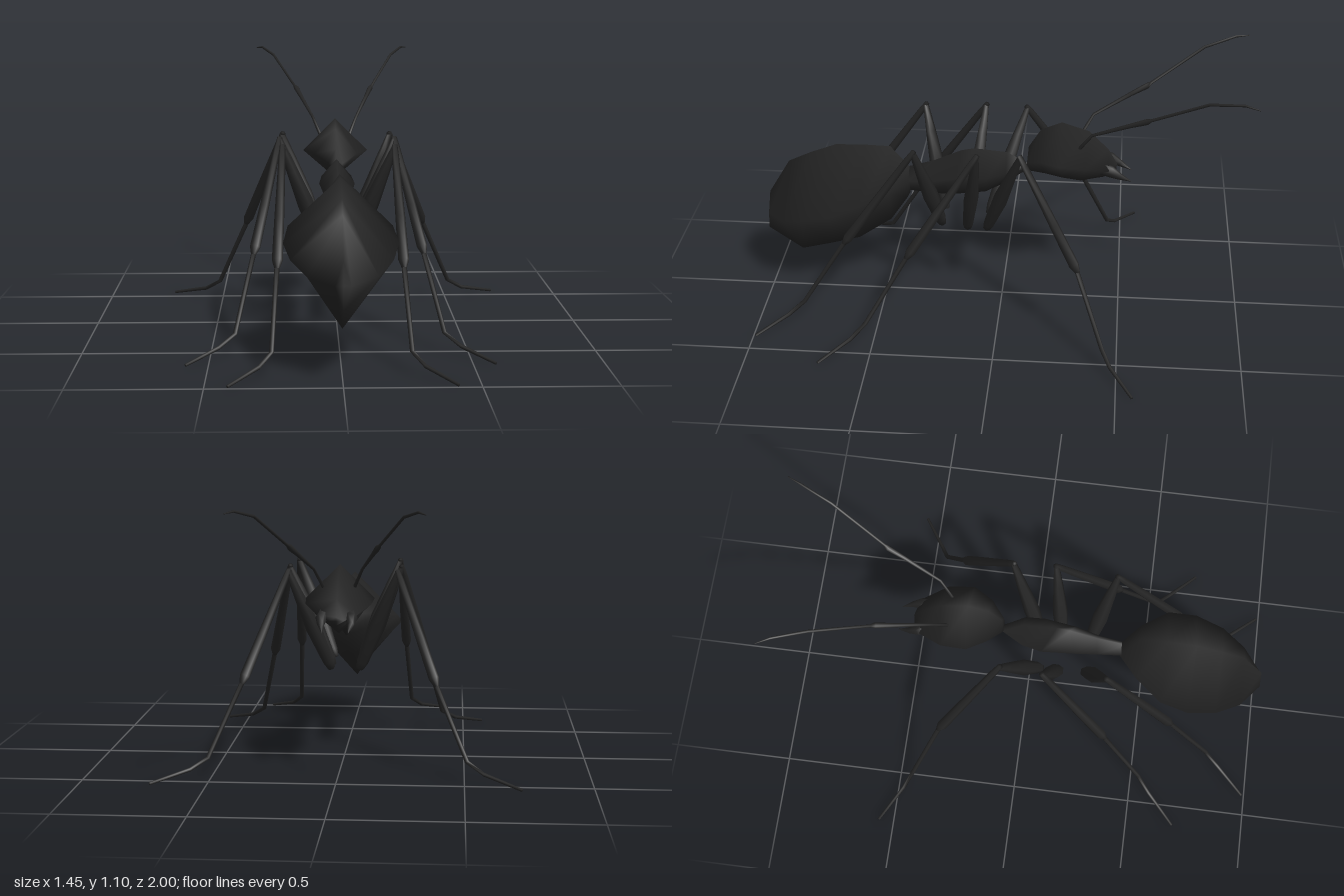
import * as THREE from 'three';

const V = (x, y, z) => new THREE.Vector3(x, y, z);

// Skin a list of equal-sized rings (counter-clockwise about the travel direction) and close both ends
function loft(rings) {
  const n = rings[0].length, pos = [], idx = [];
  rings.forEach(r => r.forEach(p => pos.push(p.x, p.y, p.z)));
  for (let i = 0; i < rings.length - 1; i++) {
    for (let j = 0; j < n; j++) {
      const a = i * n + j, b = i * n + (j + 1) % n;
      idx.push(a, b, a + n, b, b + n, a + n);
    }
  }
  [0, rings.length - 1].forEach((ri, end) => {
    const c = rings[ri].reduce((s, p) => s.add(p), V(0, 0, 0)).divideScalar(n);
    const ci = pos.length / 3;
    pos.push(c.x, c.y, c.z);
    for (let j = 0; j < n; j++) {
      const a = ri * n + j, b = ri * n + (j + 1) % n;
      if (end) idx.push(ci, a, b); else idx.push(ci, b, a);
    }
  });
  const g = new THREE.BufferGeometry();
  g.setAttribute('position', new THREE.Float32BufferAttribute(pos, 3));
  g.setIndex(idx);
  g.computeVertexNormals();
  return g;
}

// Diamond-section body: each row is [topZ, topY, bottomZ, bottomY, halfWidth, sideZ, sideY]
const diamondBody = rows => loft(rows.map(([tz, ty, bz, by, w, sz, sy]) =>
  [V(0, ty, tz), V(-w, sy, sz), V(0, by, bz), V(w, sy, sz)]));

// Tapered limb: each row is [x, y, z, radius]
function limb(rows, side, sides = 6) {
  const pts = rows.map(r => V(r[0] * side, r[1], r[2]));
  return loft(pts.map((p, i) => {
    const t = pts[Math.min(i + 1, pts.length - 1)].clone().sub(pts[Math.max(i - 1, 0)]).normalize();
    const u = V(1, 0, 0).addScaledVector(t, -t.x).normalize();
    const v = t.clone().cross(u);
    return Array.from({ length: sides }, (_, j) => {
      const a = j / sides * Math.PI * 2, r = rows[i][3];
      return p.clone().addScaledVector(u, r * Math.cos(a)).addScaledVector(v, r * Math.sin(a));
    });
  }));
}

const mix = (a, b, t, r) => [0, 1, 2].map(k => a[k] + (b[k] - a[k]) * t).concat(r);

export function createModel() {
  const model = new THREE.Group();
  model.name = 'ant';
  const shell = new THREE.MeshStandardMaterial({ color: 0x242424 });
  shell.name = 'dark shell';
  const add = (name, geometry, parent = model) => {
    const m = new THREE.Mesh(geometry, shell);
    m.name = name;
    parent.add(m);
  };

  // Body sections, head at -z
  add('head', diamondBody([
    [-0.474, 0.655, -0.455, 0.62, 0.03, -0.47, 0.64],
    [-0.437, 0.72, -0.42, 0.592, 0.08, -0.44, 0.66],
    [-0.357, 0.80, -0.325, 0.57, 0.13, -0.345, 0.69],
    [-0.244, 0.836, -0.25, 0.58, 0.137, -0.24, 0.70],
    [-0.16, 0.80, -0.18, 0.597, 0.09, -0.16, 0.695],
    [-0.11, 0.72, -0.10, 0.61, 0.03, -0.105, 0.66],
  ]));
  add('thorax', diamondBody([
    [-0.11, 0.64, -0.10, 0.61, 0.012, -0.11, 0.625],
    [-0.02, 0.69, -0.02, 0.55, 0.062, -0.02, 0.62],
    [0.115, 0.702, 0.07, 0.50, 0.073, 0.06, 0.60],
    [0.17, 0.69, 0.22, 0.48, 0.06, 0.19, 0.585],
    [0.28, 0.64, 0.30, 0.485, 0.042, 0.29, 0.56],
    [0.41, 0.60, 0.41, 0.495, 0.03, 0.40, 0.55],
  ]));
  add('abdomen', diamondBody([
    [0.385, 0.605, 0.385, 0.485, 0.03, 0.385, 0.545],
    [0.464, 0.697, 0.40, 0.455, 0.116, 0.46, 0.54],
    [0.57, 0.70, 0.47, 0.35, 0.20, 0.57, 0.515],
    [0.69, 0.697, 0.61, 0.252, 0.217, 0.69, 0.47],
    [0.80, 0.655, 0.73, 0.218, 0.19, 0.81, 0.43],
    [0.893, 0.611, 0.86, 0.185, 0.13, 0.91, 0.39],
    [0.984, 0.461, 1.0, 0.284, 0.03, 0.99, 0.37],
  ]));

  // Leg joints: hip, knee, shin, ankle, foot, toe
  const legs = {
    frontLeg: [[0.06, 0.36, 0.06], [0.225, 0.785, -0.09], [0.385, 0.37, -0.33],
      [0.51, 0.085, -0.44], [0.575, 0.045, -0.475], [0.72, 0.008, -0.565]],
    middleLeg: [[0.06, 0.36, 0.14], [0.235, 0.785, 0.085], [0.335, 0.37, 0.36],
      [0.405, 0.085, 0.53], [0.465, 0.045, 0.585], [0.585, 0.008, 0.70]],
    backLeg: [[0.06, 0.375, 0.245], [0.22, 0.785, 0.34], [0.24, 0.37, 0.63],
      [0.26, 0.085, 0.81], [0.305, 0.045, 0.87], [0.415, 0.008, 0.99]],
  };

  for (const [side, label] of [[1, 'left'], [-1, 'right']]) {
    for (const [name, [hip, knee, shin, ankle, foot, toe]] of Object.entries(legs)) {
      const leg = new THREE.Group();
      leg.name = `${label} ${name}`;
      model.add(leg);
      add('thigh', limb([
        mix(hip, knee, 0, 0.016), mix(hip, knee, 0.07, 0.024), mix(hip, knee, 0.42, 0.033),
        mix(hip, knee, 0.75, 0.022), mix(hip, knee, 1, 0.012),
      ], side), leg);
      add('shin', limb([
        mix(knee, shin, -0.02, 0.011), mix(knee, shin, 0.08, 0.014), mix(knee, shin, 0.6, 0.019),
        mix(knee, shin, 0.95, 0.021), mix(knee, shin, 1.02, 0.009),
      ], side), leg);
      add('foot', limb([
        [...shin, 0.01], [...ankle, 0.009], [...foot, 0.008], [...toe, 0.006],
      ], side), leg);
    }

    // Antenna with a thickened elbow
    add(`${label} antenna`, limb([
      [0.06, 0.75, -0.32, 0.007], [0.095, 0.83, -0.37, 0.006], [0.145, 0.905, -0.52, 0.009],
      [0.165, 0.935, -0.585, 0.012], [0.173, 0.945, -0.60, 0.006],
      [0.27, 1.07, -0.815, 0.006], [0.325, 1.098, -0.945, 0.005], [0.352, 1.093, -1.0, 0.002],
    ], side));

    // Jaw
    add(`${label} mandible`, limb([
      [0.045, 0.665, -0.40, 0.03], [0.058, 0.648, -0.45, 0.024],
      [0.058, 0.628, -0.485, 0.014], [0.05, 0.602, -0.535, 0.001],
    ], side));
  }
  return model;
}
